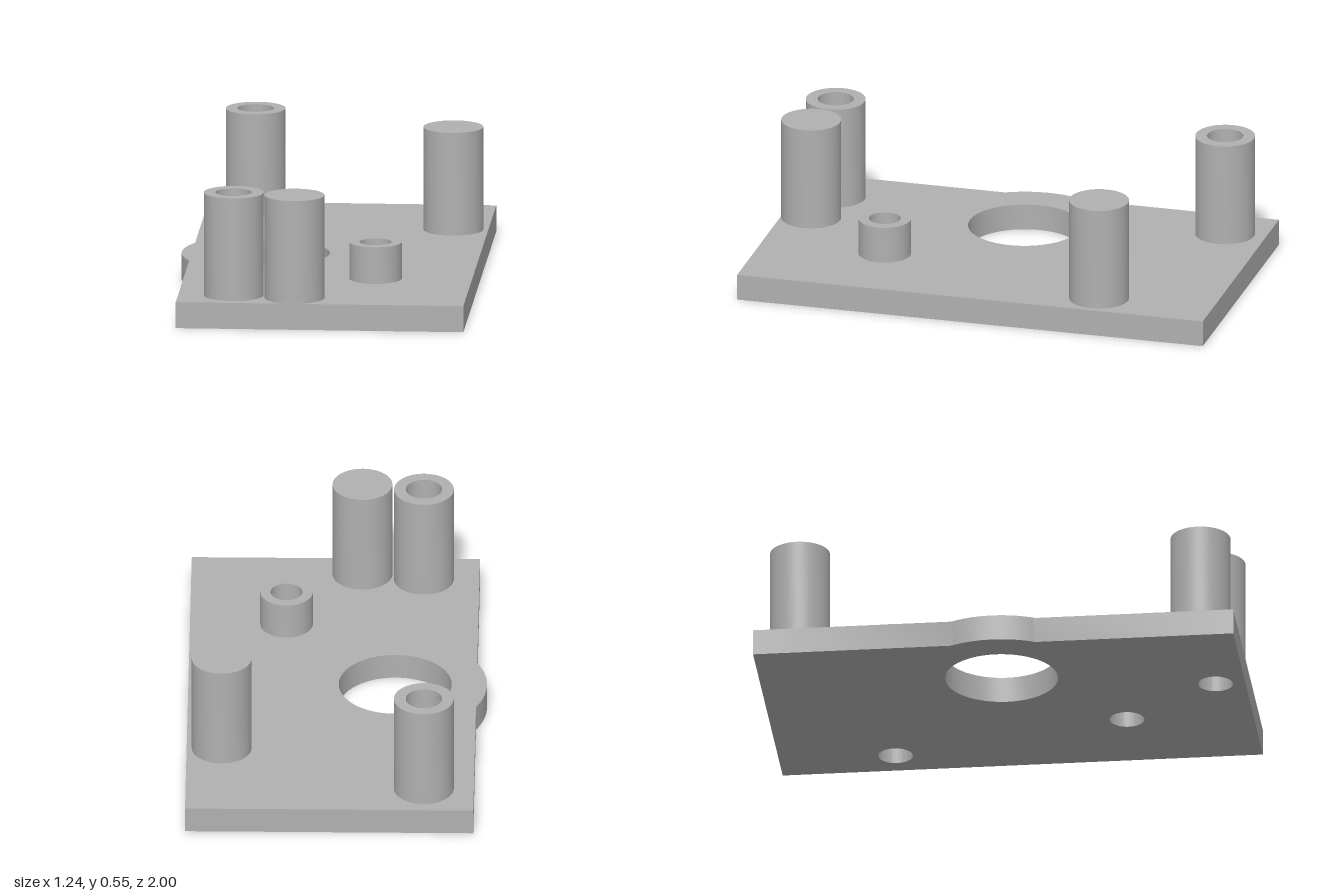
import * as THREE from 'three';
import { toCreasedNormals } from 'three/addons/utils/BufferGeometryUtils.js';

const PLATE = 0.11, TALL = 0.545, SHORT = 0.265;
const POST_R = 0.124, HOLE_R = 0.072, CORE_R = 0.063;
const BORE = { x: -0.24, z: 0, r: 0.234, rim: 0.38 };
const LEFT = 0.617, RIGHT = -0.577;

export function createModel() {
  const model = new THREE.Group();
  model.name = 'mountingPlate';
  const grey = new THREE.MeshStandardMaterial({ color: 0xb0b0b0 });
  grey.name = 'grey';

  const add = (name, geometry, x = 0, z = 0) => {
    const mesh = new THREE.Mesh(toCreasedNormals(geometry, 0.5), grey);
    mesh.name = name;
    mesh.position.set(x, 0, z);
    model.add(mesh);
  };
  const lathe = (points) =>
    new THREE.LatheGeometry(points.map(([r, y]) => new THREE.Vector2(r, y)), 64);

  const pins = [[0.472, -0.515], [-0.092, 0.876]];       // solid top, hole from below
  const sockets = [[-0.37, -0.826], [-0.347, 0.84]];     // hole from above
  const boss = [0.217, 0.475];                           // hole right through

  // Plate outline with a rounded bulge around the large bore
  const shape = new THREE.Shape();
  const a = Math.acos((BORE.x - RIGHT) / BORE.rim);
  shape.moveTo(RIGHT, -1);
  shape.lineTo(LEFT, -1);
  shape.lineTo(LEFT, 1);
  shape.lineTo(RIGHT, 1);
  shape.absarc(BORE.x, -BORE.z, BORE.rim, Math.PI - a, Math.PI + a, false);
  shape.closePath();
  const cut = (x, z, r) => {
    const hole = new THREE.Path();
    hole.absarc(x, -z, r, 0, Math.PI * 2, true);
    shape.holes.push(hole);
  };
  cut(BORE.x, BORE.z, BORE.r);
  [...pins, boss].forEach(([x, z]) => cut(x, z, HOLE_R));
  const plate = new THREE.ExtrudeGeometry(shape, { depth: PLATE, bevelEnabled: false, curveSegments: 32 });
  plate.rotateX(-Math.PI / 2);
  add('plate', plate);

  // Tall posts with closed tops and a blind hole underneath
  for (const [x, z] of pins) {
    add('closedPost', lathe([
      [0, 0.45], [HOLE_R, 0.45], [HOLE_R, PLATE], [POST_R, PLATE], [POST_R, TALL], [0, TALL],
    ]), x, z);
  }

  // Tall posts with a stepped blind socket in the top
  for (const [x, z] of sockets) {
    add('socketPost', lathe([
      [POST_R, PLATE], [POST_R, TALL], [0.075, TALL], [0.075, 0.25],
      [CORE_R, 0.25], [CORE_R, PLATE], [0, PLATE],
    ]), x, z);
  }

  // Short boss with a through hole and a narrower lip at the top
  add('shortBoss', lathe([
    [HOLE_R, PLATE], [0.109, PLATE], [0.109, SHORT], [0.066, SHORT],
    [0.066, SHORT - 0.025], [HOLE_R, SHORT - 0.025], [HOLE_R, PLATE],
  ]), ...boss);

  return model;
}
